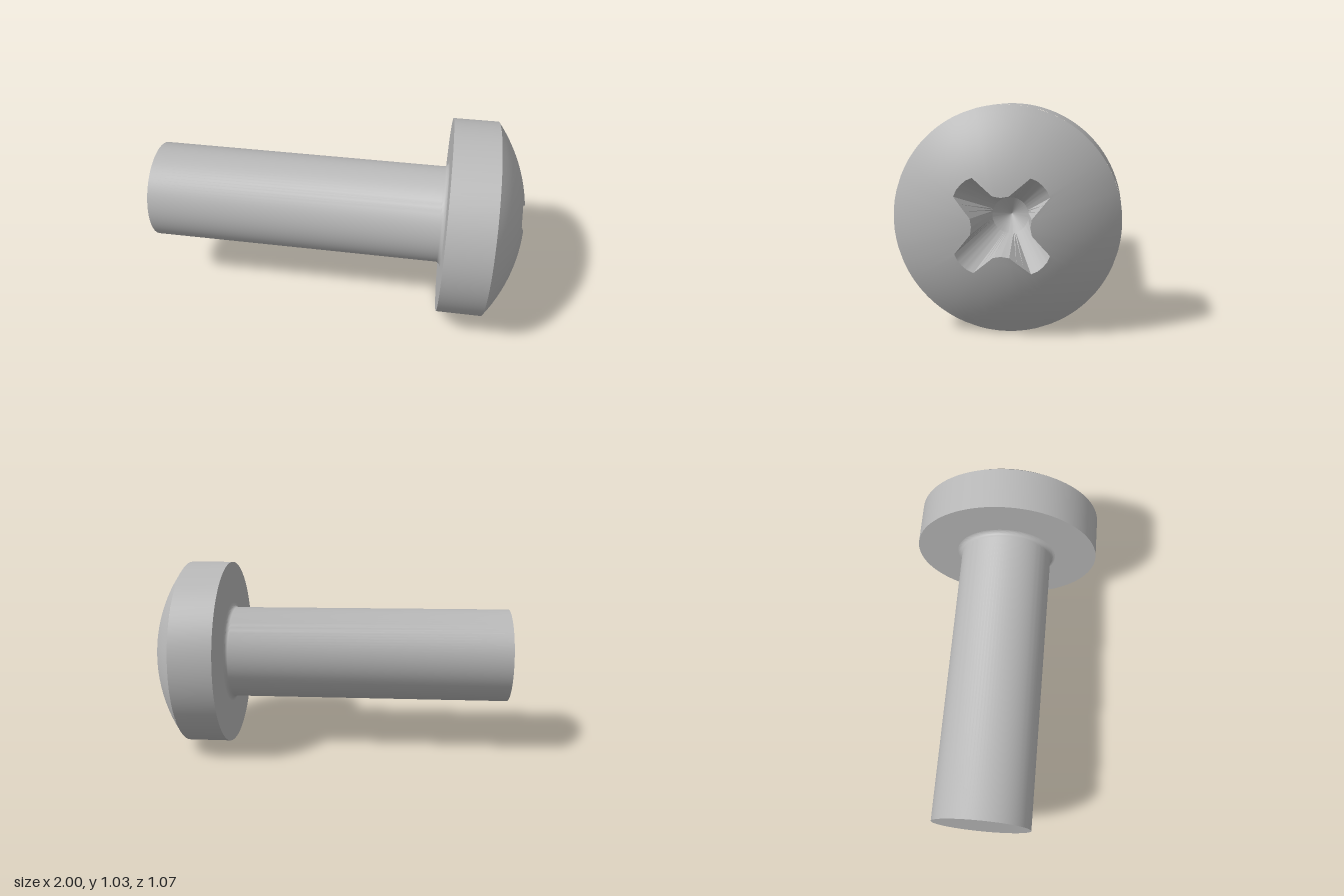
import * as THREE from 'three';
import { toCreasedNormals } from 'three/addons/utils/BufferGeometryUtils.js';

const SHANK_R = 0.257, SHANK_L = 1.559;
const HEAD_R = 0.516, HEAD_H = 0.233, DOME_H = 0.18;
const DOME_R = (HEAD_R ** 2 + DOME_H ** 2) / (2 * DOME_H);
const FILLET = 0.027;

// Height of the domed top at a given distance from the axis
const domeY = (r) => HEAD_H + DOME_H - DOME_R + Math.sqrt(DOME_R ** 2 - r ** 2);

// Surface through closed rings of equal point count, listed in lathe order
function loft(rings) {
  const n = rings[0].length;
  const index = [];
  for (let i = 0; i < rings.length - 1; i++) {
    for (let j = 0; j < n; j++) {
      const k = (j + 1) % n;
      const a = i * n + j, b = i * n + k, c = (i + 1) * n + k, d = (i + 1) * n + j;
      index.push(a, b, d, c, d, b);
    }
  }
  const geo = new THREE.BufferGeometry().setFromPoints(rings.flat());
  geo.setIndex(index);
  return toCreasedNormals(geo, 0.3);
}

function lathe(points) {
  const profile = points.map(([r, y]) => new THREE.Vector2(r, y));
  return toCreasedNormals(new THREE.LatheGeometry(profile, 96), 0.5);
}

const polar = (r, angle, y) => new THREE.Vector3(r * Math.sin(angle), y, r * Math.cos(angle));

// Half of one recess arm, from its middle to the notch: [along, across] at the
// mouth, and the matching angle on the round floor edge in degrees
const HALF_ARM = [
  [0.25, 0, 0], [0.247, 0.03, 12], [0.236, 0.058, 25],
  [0.119, 0.069, 36], [0.09, 0.09, 45],
];
const STEPS = 3;

// All outline samples around the cross: mouth radius, mouth angle, floor angle
function crossOutline() {
  const half = [];
  for (let i = 0; i < HALF_ARM.length - 1; i++) {
    for (let s = 0; s < STEPS; s++) {
      const [u, v, w] = HALF_ARM[i].map((p, k) => p + (HALF_ARM[i + 1][k] - p) * s / STEPS);
      half.push({ r: Math.hypot(u, v), a: Math.atan2(v, u), f: THREE.MathUtils.degToRad(w) });
    }
  }
  const [u, v] = HALF_ARM[HALF_ARM.length - 1];
  const notch = { r: Math.hypot(u, v), a: Math.PI / 4, f: Math.PI / 4 };
  const mirrored = half.slice(1).reverse().map((p) => ({ r: p.r, a: -p.a, f: -p.f }));
  const arm = [...mirrored, ...half, notch];
  const all = [];
  for (let k = 0; k < 4; k++) {
    const turn = Math.PI / 4 + k * Math.PI / 2;
    for (const p of arm) all.push({ r: p.r, a: p.a + turn, f: p.f + turn });
  }
  return all;
}

export function createModel() {
  const steel = new THREE.MeshStandardMaterial({ color: 0xb8b8b8 });
  steel.name = 'steel grey';

  const model = new THREE.Group();
  model.name = 'screw';
  const screw = new THREE.Group();
  screw.name = 'screwBody';
  model.add(screw);
  const add = (name, geometry) => {
    const mesh = new THREE.Mesh(geometry, steel);
    mesh.name = name;
    screw.add(mesh);
  };

  // Shank with a small fillet flaring into the head
  const shank = [[0, -SHANK_L], [SHANK_R, -SHANK_L]];
  for (let i = 0; i <= 6; i++) {
    const a = (i / 6) * Math.PI / 2;
    shank.push([SHANK_R + FILLET * (1 - Math.cos(a)), FILLET * (Math.sin(a) - 1)]);
  }
  add('shank', lathe(shank));

  // Flat underside and straight rim of the head
  add('headRim', lathe([[SHANK_R + FILLET, 0], [HEAD_R, 0], [HEAD_R, HEAD_H]]));

  // Domed top, running from the rim in to the cross-shaped mouth
  const outline = crossOutline();
  const domeRings = [];
  for (let i = 0; i <= 12; i++) {
    domeRings.push(outline.map((p) => {
      const r = HEAD_R + (p.r - HEAD_R) * i / 12;
      return polar(r, p.a, domeY(r));
    }));
  }
  add('headDome', loft(domeRings));

  // Tapered cross recess walls and the conical pit at their foot
  const mouth = outline.map((p) => polar(p.r, p.a, domeY(p.r)));
  const floor = outline.map((p) => polar(0.085, p.f, 0.1));
  add('recessWalls', loft([mouth, floor]));
  add('recessPit', loft([floor, outline.map(() => new THREE.Vector3(0, 0.05, 0))]));

  // Lay the screw on its side, slightly turned
  screw.rotation.set(0, 0.174, -Math.PI / 2 - 0.0085);
  screw.position.set(0.58, 0.518, 0.008);
  return model;
}
